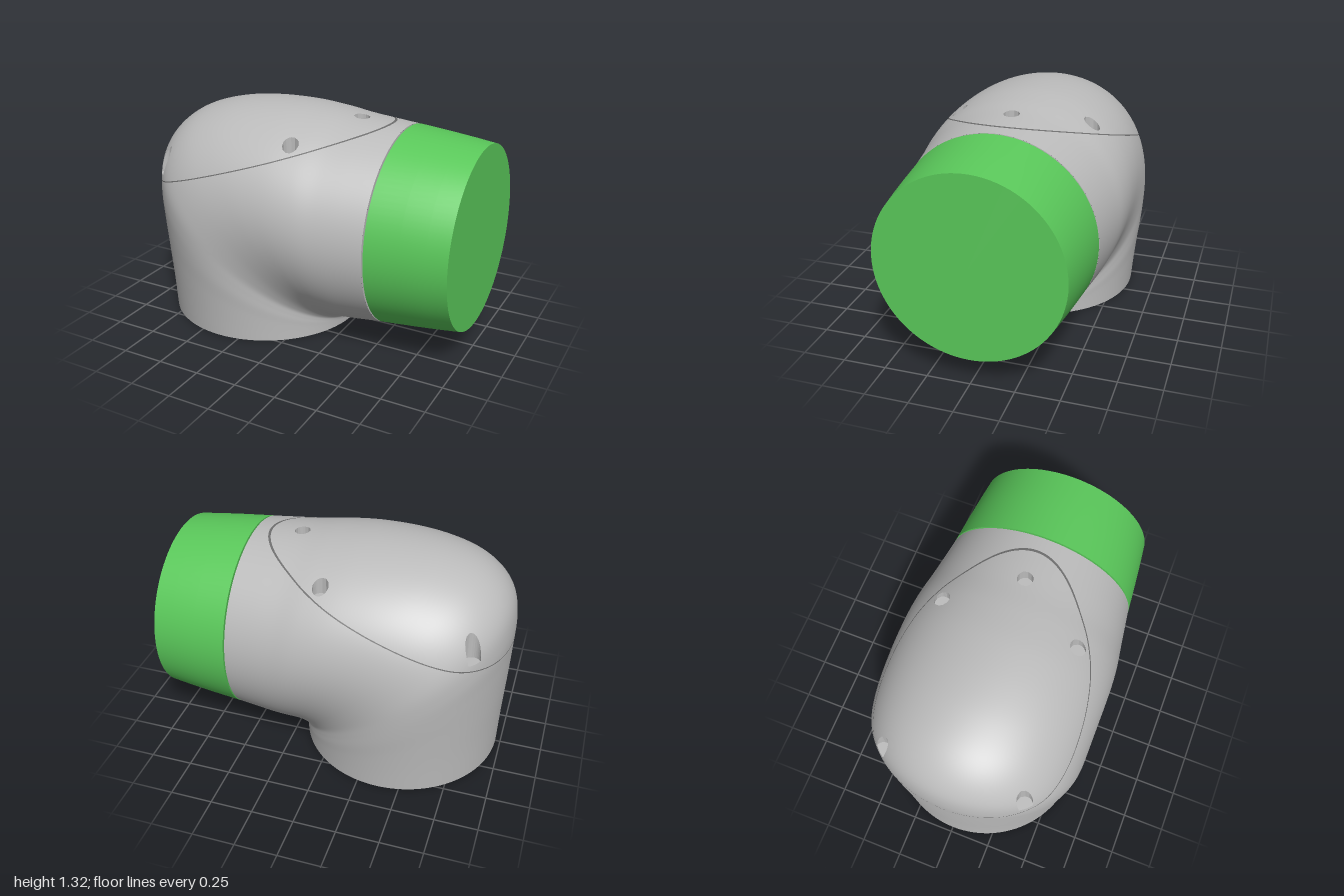
import * as THREE from 'three';
import { toCreasedNormals } from 'three/addons/utils/BufferGeometryUtils.js';

const grey = new THREE.MeshStandardMaterial({ color: 0xbcbcbc });
grey.name = 'shell grey';
const green = new THREE.MeshStandardMaterial({ color: 0x5ac85a });
green.name = 'collar green';
const dark = new THREE.MeshStandardMaterial({ color: 0x6e6e6e });
dark.name = 'seam grey';

// Cross-sections around the bend: inner x, y, outer x, y, half width, outward bulge
const SECTIONS = [
  [0.22, 0, -0.97, 0, 0.595, 0],
  [0.221, 0.01, -0.978, 0.25, 0.605, 0.02],
  [0.222, 0.018, -0.99, 0.5, 0.617, 0.04],
  [0.223, 0.025, -0.998, 0.72, 0.63, 0.06],
  [0.225, 0.031, -1, 0.9, 0.637, 0.08],
  [0.228, 0.037, -0.97, 1.04, 0.64, 0.1],
  [0.232, 0.043, -0.89, 1.15, 0.641, 0.1],
  [0.238, 0.049, -0.76, 1.235, 0.641, 0.1],
  [0.245, 0.055, -0.58, 1.29, 0.641, 0.1],
  [0.255, 0.06, -0.38, 1.316, 0.641, 0.1],
  [0.265, 0.064, -0.15, 1.321, 0.639, 0.09],
  [0.29, 0.069, 0.05, 1.307, 0.631, 0.07],
  [0.35, 0.078, 0.22, 1.287, 0.615, 0.04],
  [0.44, 0.09, 0.38, 1.274, 0.597, 0.02],
  [0.54, 0.104, 0.54, 1.262, 0.579, 0],
];
// Screw holes: x, z, floor height
const HOLES = [
  [0.26, 0, 1.2],
  [0.02, 0.4, 1.12], [0.02, -0.4, 1.12],
  [-0.83, 0.42, 0.89], [-0.83, -0.42, 0.89],
];
const HOLE_RADIUS = 0.046;
const ROWS = 112, COLS = 160;

// Smooth elbow skin as a list of triangles with vertices {p, n}
function elbowTriangles() {
  const curve = (f) => new THREE.CatmullRomCurve3(SECTIONS.map(f), false, 'catmullrom', 0.5);
  const inner = curve((s) => new THREE.Vector3(s[0], s[1], 0));
  const outer = curve((s) => new THREE.Vector3(s[2], s[3], 0));
  const shape = curve((s) => new THREE.Vector3(s[4], s[5], 0));
  const pos = [], index = [];
  for (let i = 0; i <= ROWS; i++) {
    const a = inner.getPoint(i / ROWS), b = outer.getPoint(i / ROWS), w = shape.getPoint(i / ROWS);
    for (let j = 0; j < COLS; j++) {
      const t = (j / COLS) * Math.PI * 2, s = -Math.cos(t);
      const p = a.clone().lerp(b, (s + 1) / 2);
      pos.push(p.x, p.y, w.x * Math.sin(t) * (1 + w.y * s));
      if (i === ROWS) continue;
      const k = i * COLS + j, k2 = i * COLS + ((j + 1) % COLS);
      index.push(k, k + COLS, k2, k2, k + COLS, k2 + COLS);
    }
  }
  const g = new THREE.BufferGeometry();
  g.setAttribute('position', new THREE.Float32BufferAttribute(pos, 3));
  g.setIndex(index);
  g.computeVertexNormals();
  const read = (name, i) => new THREE.Vector3().fromBufferAttribute(g.getAttribute(name), i);
  const verts = pos.slice(0, pos.length / 3).map((_, i) => ({ p: read('position', i), n: read('normal', i) }));
  const tris = [];
  for (let i = 0; i < index.length; i += 3) tris.push([0, 1, 2].map((k) => verts[index[i + k]]));
  return tris;
}

// Keep the part of the skin where f > 0; cut edges are gathered in rim
function cut(tris, f, rim = []) {
  const out = [];
  for (const tri of tris) {
    const d = tri.map((v) => f(v.p));
    if (d.every((x) => x > 0)) { out.push(tri); continue; }
    if (d.every((x) => x <= 0)) continue;
    const poly = [];
    let enter, exit;
    for (let i = 0; i < 3; i++) {
      const j = (i + 1) % 3;
      if (d[i] > 0) poly.push(tri[i]);
      if ((d[i] > 0) === (d[j] > 0)) continue;
      const t = d[i] / (d[i] - d[j]);
      const v = { p: tri[i].p.clone().lerp(tri[j].p, t), n: tri[i].n.clone().lerp(tri[j].n, t).normalize() };
      poly.push(v);
      if (d[i] > 0) exit = v.p; else enter = v.p;
    }
    for (let i = 2; i < poly.length; i++) out.push([poly[0], poly[i - 1], poly[i]]);
    rim.push([enter, exit]);
  }
  return out;
}

function skinGeometry(tris) {
  const flat = tris.flat(), g = new THREE.BufferGeometry();
  g.setAttribute('position', new THREE.Float32BufferAttribute(flat.flatMap((v) => v.p.toArray()), 3));
  g.setAttribute('normal', new THREE.Float32BufferAttribute(flat.flatMap((v) => v.n.toArray()), 3));
  return g;
}

// Walls dropped from a hole's rim, and a flat floor
function holeGeometry(rim, x, z, floorY) {
  const centre = new THREE.Vector3(x, floorY, z), pts = [];
  for (const [a, b] of rim) {
    const a2 = a.clone().setY(floorY), b2 = b.clone().setY(floorY);
    pts.push(a, b, b2, a, b2, a2, a2, b2, centre);
  }
  const g = new THREE.BufferGeometry().setFromPoints(pts);
  g.computeVertexNormals();
  return g;
}

export function createModel() {
  const group = new THREE.Group();
  const add = (name, geometry, material) => {
    const mesh = new THREE.Mesh(geometry, material);
    mesh.name = name;
    group.add(mesh);
    return mesh;
  };

  // Elbow skin with screw holes
  let skin = elbowTriangles();
  HOLES.forEach(([x, z, floorY], i) => {
    const rim = [];
    skin = cut(skin, (p) => Math.max(Math.hypot(p.x - x, p.z - z) - HOLE_RADIUS, floorY - p.y), rim);
    add(`screwHole${i + 1}`, holeGeometry(rim, x, z, floorY), grey);
  });

  // Sloping seam divides the lid from the lower shell
  const seam = (p) => p.y - 0.8 - 0.324 * (p.x + 1), half = 0.003;
  add('lid', skinGeometry(cut(skin, (p) => seam(p) - half)), grey);
  add('lowerShell', skinGeometry(cut(skin, (p) => -seam(p) - half)), grey);
  const strip = cut(cut(skin, (p) => seam(p) + half), (p) => half - seam(p));
  add('lidSeam', skinGeometry(strip), dark);

  // Flat ends of the elbow
  const base = add('baseCap', new THREE.CircleGeometry(0.595, 96), grey);
  base.rotation.x = Math.PI / 2;
  base.position.x = -0.375;
  const end = add('outletCap', new THREE.CircleGeometry(0.579, 96), grey);
  end.rotation.y = Math.PI / 2;
  end.position.set(0.54, 0.683, 0);

  // Tapered collar on the outlet
  const profile = [[0, 0.549], [0.579, 0.549], [0.561, 0.74], [0.546, 0.88], [0.531, 1], [0, 1]];
  const collarShape = new THREE.LatheGeometry(profile.map(([r, x]) => new THREE.Vector2(r, x)), 96);
  const collar = add('collar', toCreasedNormals(collarShape, 0.6), green);
  collar.rotation.z = -Math.PI / 2;
  collar.position.y = 0.683;
  return group;
}
